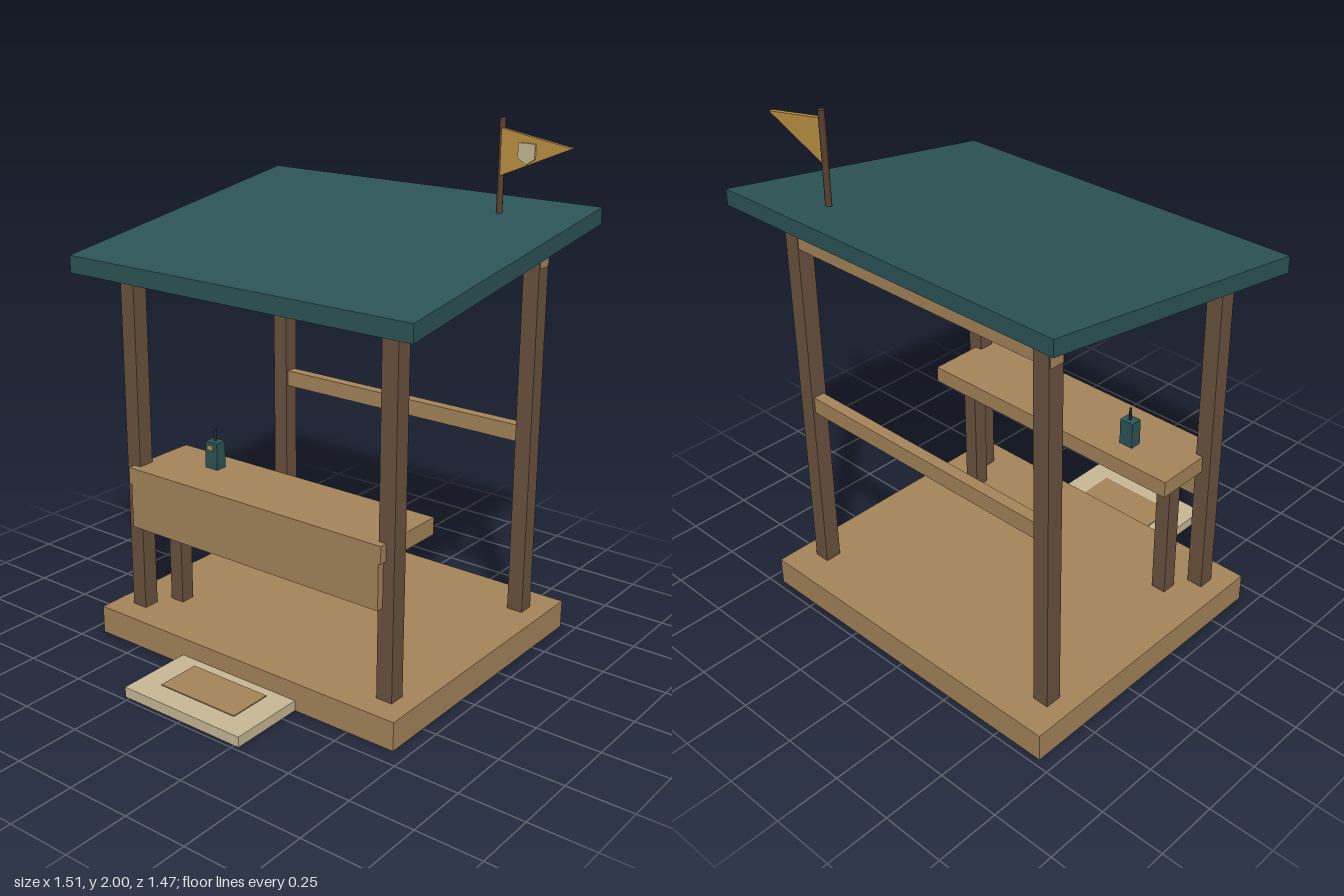
import * as THREE from 'three';

const mat = (name, color) => {
  const m = new THREE.MeshStandardMaterial({ color });
  m.name = name;
  return m;
};

export function createModel() {
  const group = new THREE.Group();
  const wood = mat('light wood', 0xa6865b);
  const timber = mat('dark timber', 0x6b5340);
  const teal = mat('teal', 0x2d5558);
  const stone = mat('pale stone', 0xcabb97);
  const gold = mat('gold cloth', 0xbf9443);
  const poleBrown = mat('pole brown', 0x5a4030);
  const black = mat('dark metal', 0x22302f);
  const olive = mat('olive screen', 0xa89a4c);

  const add = (name, geometry, material) => {
    const mesh = new THREE.Mesh(geometry, material);
    mesh.name = name;
    group.add(mesh);
    return mesh;
  };
  // Box given by its limits on each axis
  const box = (name, material, [x0, x1], [y0, y1], [z0, z1]) => {
    const mesh = add(name, new THREE.BoxGeometry(x1 - x0, y1 - y0, z1 - z0), material);
    mesh.position.set((x0 + x1) / 2, (y0 + y1) / 2, (z0 + z1) / 2);
    return mesh;
  };
  // Flat outline extruded along z
  const plate = (points, depth) => new THREE.ExtrudeGeometry(
    new THREE.Shape(points.map(([x, y]) => new THREE.Vector2(x, y))),
    { depth, bevelEnabled: false });

  // Floor and entrance step
  box('platform', wood, [-0.695, 0.695], [0, 0.11], [-0.725, 0.43]);
  box('step', stone, [-0.27, 0.27], [0, 0.04], [0.43, 0.735]);
  box('doormat', wood, [-0.175, 0.172], [0.04, 0.044], [0.47, 0.645]);

  // Corner posts and counter legs, mirrored
  for (const s of [-1, 1]) {
    const span = (a, b) => (s > 0 ? [a, b] : [-b, -a]);
    box('frontPost', timber, span(0.555, 0.62), [0.11, 1.458], [0.27, 0.335]);
    box('backPost', timber, span(0.555, 0.62), [0.11, 1.59], [-0.605, -0.54]);
    box('counterLeg', timber, span(0.475, 0.535), [0.11, 0.6], [0.15, 0.21]);
  }

  // Rails between the back posts
  box('lowerRail', wood, [-0.557, 0.557], [0.8, 0.865], [-0.595, -0.55]);
  box('upperRail', wood, [-0.623, 0.623], [1.475, 1.555], [-0.602, -0.543]);

  // Counter
  box('counterTop', wood, [-0.585, 0.585], [0.635, 0.7], [0.05, 0.365]);
  box('counterPanel', wood, [-0.575, 0.575], [0.46, 0.635], [0.335, 0.364]);

  // Sloping roof: side outline swept across the width
  const roof = plate([[-0.453, 1.445], [0.735, 1.625], [0.735, 1.686], [-0.453, 1.51]], 1.508);
  roof.rotateY(Math.PI / 2);
  roof.translate(-0.754, 0, 0);
  add('roof', roof, teal);

  // Flag on its pole
  const pole = add('flagPole', new THREE.CylinderGeometry(0.012, 0.012, 0.345, 8), poleBrown);
  pole.position.set(0.44, 1.8275, -0.547);
  add('flag', plate([[0.45, 1.795], [0.735, 1.917], [0.45, 1.965]], 0.018), gold).position.z = -0.54;
  add('flagShield', plate([[0.527, 1.922], [0.527, 1.868], [0.561, 1.846],
    [0.595, 1.868], [0.595, 1.922]], 0.008), stone).position.z = -0.518;

  // Handheld radio on the counter
  box('radioBody', teal, [-0.36, -0.302], [0.7, 0.805], [0.135, 0.182]);
  box('radioScreen', olive, [-0.346, -0.318], [0.774, 0.793], [0.182, 0.187]);
  const antenna = add('radioAntenna', new THREE.CylinderGeometry(0.005, 0.005, 0.05, 8), black);
  antenna.position.set(-0.331, 0.83, 0.157);

  return group;
}
